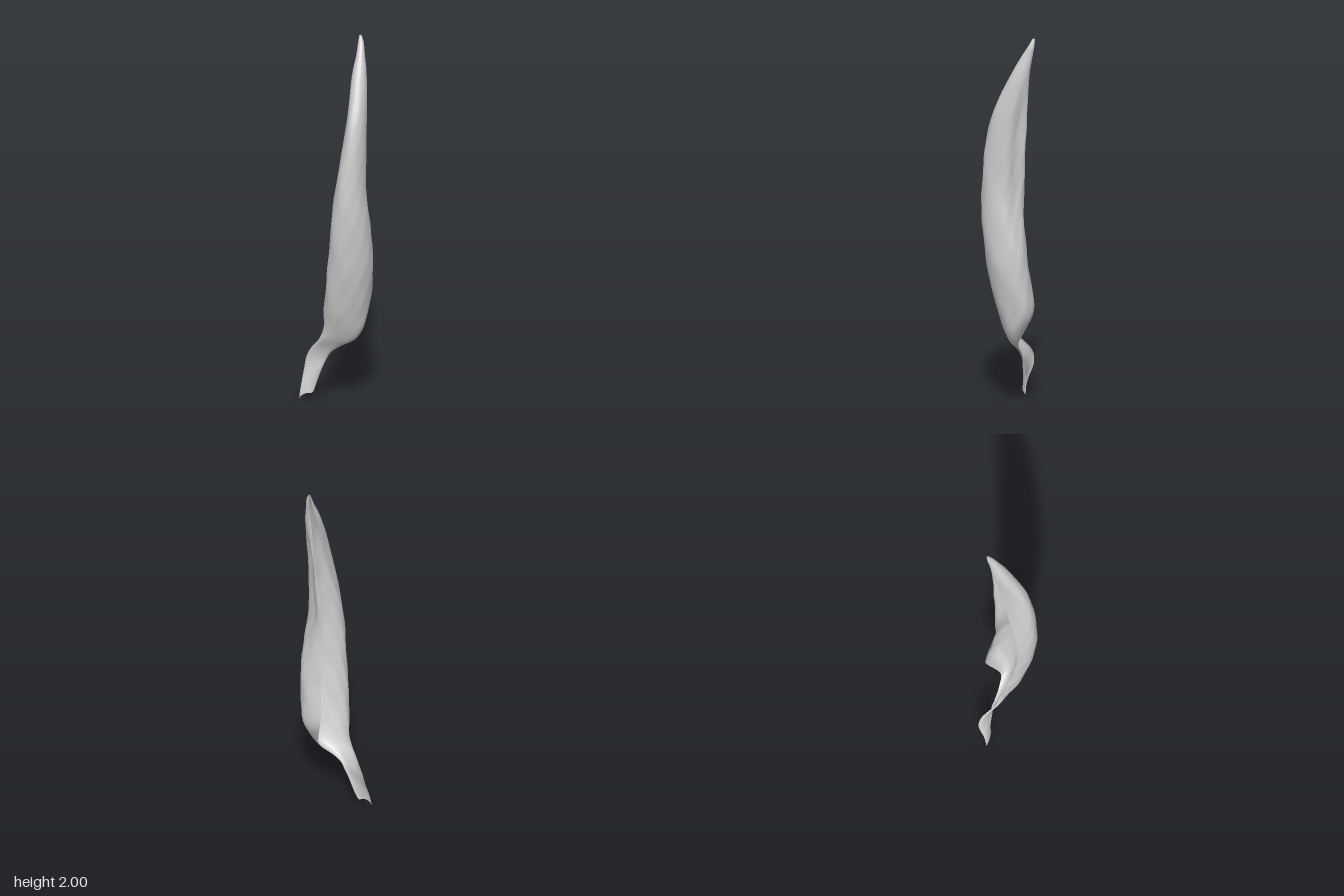
import * as THREE from 'three';

// Cross-sections from stem to tip: y, xMin, xMax, zMin, zMax, start angle, end angle (0 = front, 90 = +x)
const SECTIONS = [
  [0.00, -0.200, -0.138, -0.055, -0.033, -90, 90],
  [0.05, -0.195, -0.122, -0.060, -0.035, -90, 90],
  [0.15, -0.180, -0.088, -0.092, -0.048, -90, 90],
  [0.22, -0.168, -0.058, -0.098, -0.054, -90, 90],
  [0.27, -0.145, -0.028, -0.092, -0.040, -90, 90],
  [0.31, -0.118, 0.030, -0.078, -0.018, -90, 98],
  [0.35, -0.090, 0.100, -0.064, 0.006, -88, 128],
  [0.42, -0.067, 0.145, -0.090, 0.036, -86, 160],
  [0.52, -0.065, 0.172, -0.133, 0.070, -84, 178],
  [0.65, -0.054, 0.188, -0.122, 0.100, -82, 184],
  [0.80, -0.037, 0.196, -0.102, 0.127, -80, 186],
  [1.00, -0.021, 0.187, -0.087, 0.147, -82, 189],
  [1.20, 0.002, 0.170, -0.091, 0.147, -90, 192],
  [1.40, 0.034, 0.167, -0.101, 0.127, -106, 192],
  [1.60, 0.062, 0.167, -0.110, 0.082, -117, 190],
  [1.80, 0.078, 0.156, -0.116, -0.014, -122, 187],
  [1.90, 0.096, 0.142, -0.131, -0.070, -122, 185],
  [1.96, 0.103, 0.134, -0.142, -0.108, -120, 183],
  [2.00, 0.108, 0.121, -0.143, -0.131, -115, 182],
];

// Sample a smooth curve through one column of the section list
function smoothSection(i, f) {
  const at = (k) => SECTIONS[Math.min(Math.max(k, 0), SECTIONS.length - 1)];
  const [p0, p1, p2, p3] = [at(i - 1), at(i), at(i + 1), at(i + 2)];
  return p1.map((b, c) => {
    const a = p0[c], d = p2[c], e = p3[c];
    return b + 0.5 * f * (d - a + f * (2 * a - 5 * b + 4 * d - e + f * (3 * (b - d) + e - a)));
  });
}

// Slightly squared sine, for a fuller section
const full = (v) => Math.sign(v) * Math.pow(Math.abs(v), 0.88);

// Rises from 0 to 1 between a and b, falls back to 0 between c and d
const band = (y, a, b, c, d) =>
  THREE.MathUtils.smoothstep(y, a, b) * (1 - THREE.MathUtils.smoothstep(y, c, d));

export function createModel() {
  const group = new THREE.Group();
  const around = 30, steps = 4;
  const positions = [], indices = [];
  const rows = (SECTIONS.length - 1) * steps;

  for (let r = 0; r <= rows; r++) {
    const i = Math.min(Math.floor(r / steps), SECTIONS.length - 2);
    const [y, x0, x1, z0, z1, a0, a1] = smoothSection(i, r / steps - i);
    const cx = (x0 + x1) / 2, cz = (z0 + z1) / 2;
    const body = band(y, 0.3, 0.5, 1.6, 1.95);
    const waist = band(y, 0.8, 1.2, 1.5, 1.85);
    const stemTwist = 0.018 * band(y, 0.08, 0.2, 0.25, 0.36);
    for (let s = 0; s <= around; s++) {
      const t = s / around;
      const angle = THREE.MathUtils.degToRad(a0 + (a1 - a0) * t);
      // Diagonal wrinkles on the curled sheet
      const wrinkle = 1 + body * (0.015 * Math.sin(angle * 5 + y * 19) + 0.01 * Math.sin(angle * 9 - y * 31) - 0.01);
      // The back of the left wall dips inward above the belly
      const dip = 0.033 * waist * Math.pow(Math.max(0, Math.cos(angle - Math.PI * 0.75)), 4);
      const x = cx + (x1 - x0) / 2 * full(Math.sin(angle)) * wrinkle - dip;
      const z = cz + (z1 - z0) / 2 * full(Math.cos(angle + 0.2 * body)) * wrinkle + dip + stemTwist * Math.sin(angle);
      // Ragged torn end of the stem, fading out upward
      const torn = Math.max(0, 1 - r / steps) * (0.042 * Math.min(1, t * 1.8) - 0.01 * Math.max(0, t - 0.6));
      positions.push(x, y + torn, z);
    }
  }
  const n = around + 1;
  for (let r = 0; r < rows; r++) {
    for (let s = 0; s < around; s++) {
      const a = r * n + s, b = a + 1, c = a + n, d = c + 1;
      indices.push(a, b, d, a, d, c);
    }
  }

  const geometry = new THREE.BufferGeometry();
  geometry.setAttribute('position', new THREE.Float32BufferAttribute(positions, 3));
  geometry.setIndex(indices);
  geometry.computeVertexNormals();

  // Curled blade and its stem are one open sheet
  const leaf = new THREE.Mesh(geometry, new THREE.MeshStandardMaterial({ color: 0xcccccc, side: THREE.DoubleSide }));
  leaf.name = 'curledLeaf';
  group.add(leaf);
  group.name = 'driedLeaf';
  return group;
}
